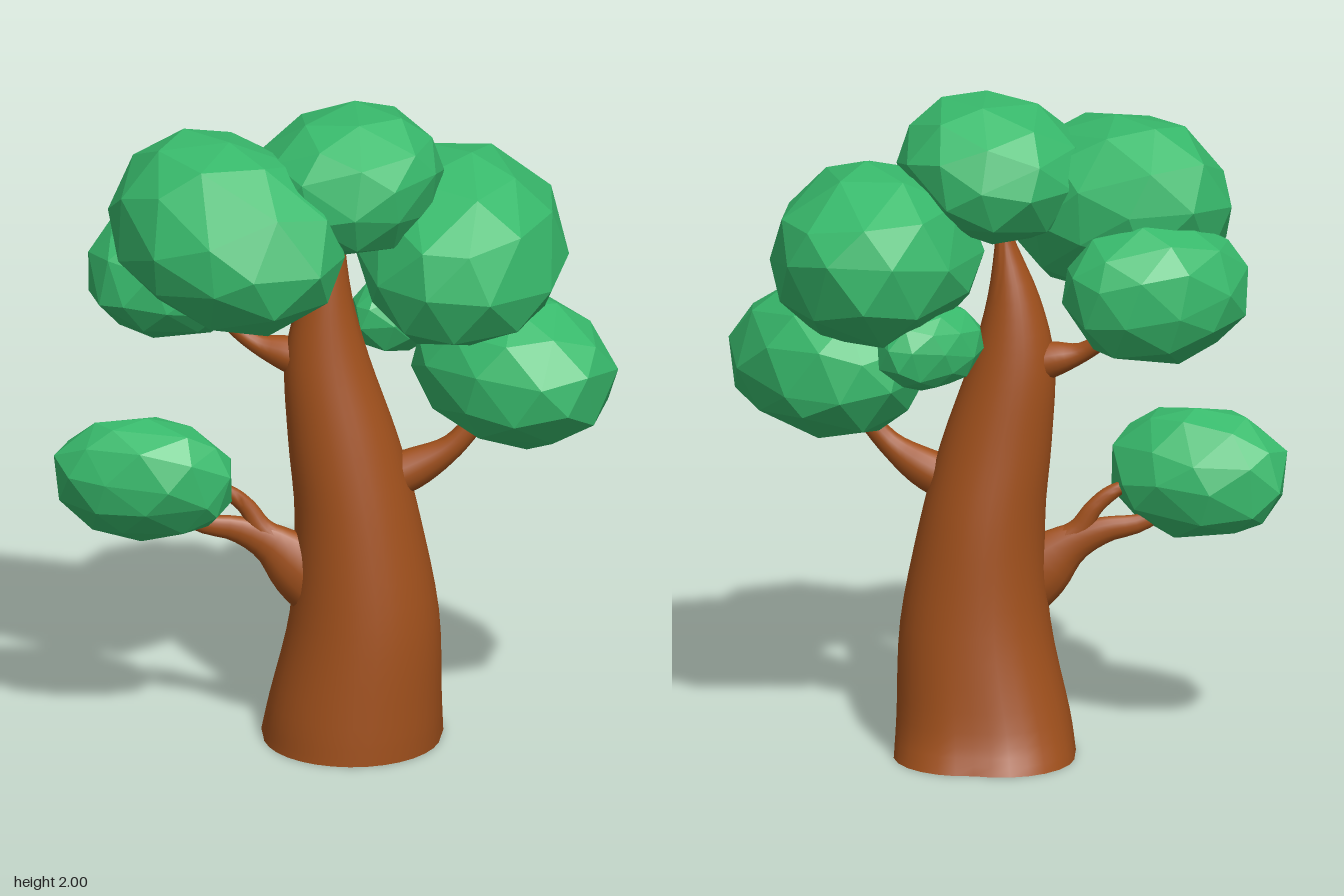
import * as THREE from 'three';
import { mergeVertices, toCreasedNormals } from 'three/addons/utils/BufferGeometryUtils.js';

const bark = new THREE.MeshStandardMaterial({ color: 0xa0501c });
const leaf = new THREE.MeshStandardMaterial({ color: 0x38ba6c, flatShading: true });
const V = (p) => new THREE.Vector3(...p);

function mesh(name, geometry, material) {
  const m = new THREE.Mesh(geometry, material);
  m.name = name;
  return m;
}

// small seeded generator
function seeded(seed) {
  let s = seed * 7919 + 17;
  return () => (s = (s * 16807) % 2147483647) / 2147483647;
}

// leaning trunk: each ring spans [y, xMin, xMax, zMin, zMax]
function trunkGeometry() {
  const rows = [
    [0, -0.22, 0.31, -0.31, 0.24],
    [0.12, -0.2, 0.31, -0.272, 0.235],
    [0.4, -0.14, 0.305, -0.235, 0.215],
    [0.7, -0.125, 0.25, -0.205, 0.18],
    [0.95, -0.145, 0.185, -0.165, 0.145],
    [1.2, -0.155, 0.1, -0.125, 0.105],
    [1.4, -0.11, 0.047, -0.085, 0.07],
    [1.6, -0.025, 0.022, -0.035, 0.028],
    [1.7, -0.015, 0.02, -0.02, 0.02],
  ];
  const low = new THREE.CatmullRomCurve3(rows.map(([y, a, , c]) => V([a, y, c])), false, 'catmullrom');
  const high = new THREE.CatmullRomCurve3(rows.map(([y, , b, , d]) => V([b, y, d])), false, 'catmullrom');
  const geo = new THREE.CylinderGeometry(1, 1, 1, 32, 32);
  const pos = geo.attributes.position;
  for (let i = 0; i < pos.count; i++) {
    const t = THREE.MathUtils.clamp(pos.getY(i) + 0.5, 0, 1);
    const a = low.getPoint(t), b = high.getPoint(t);
    const x = pos.getX(i), z = pos.getZ(i);
    // the foot is fuller at its back corners
    const full = z < 0 ? 1 + 0.22 * Math.abs(x * z) * Math.max(0, 1 - t * 3) : 1;
    pos.setXYZ(i,
      THREE.MathUtils.lerp(a.x, b.x, (x * full + 1) / 2),
      Math.max(0, a.y),
      THREE.MathUtils.lerp(a.z, b.z, (z * full + 1) / 2));
  }
  return toCreasedNormals(geo, 0.7);
}

// tapered tube through points [x, y, z, radius], thinned along z by flat
function branchGeometry(points, flat) {
  const along = 16, around = 14;
  const curve = new THREE.CatmullRomCurve3(points.map(([x, y, z]) => V([x, y, z])));
  const taper = new THREE.CatmullRomCurve3(points.map((p) => V([p[3], 0, 0])), false, 'catmullrom');
  const geo = new THREE.TubeGeometry(curve, along, 1, around);
  const pos = geo.attributes.position, v = new THREE.Vector3();
  for (let i = 0; i < pos.count; i++) {
    const u = Math.floor(i / (around + 1)) / along;
    const c = curve.getPointAt(u);
    const r = taper.getPoint(curve.getUtoTmapping(u)).x;
    v.fromBufferAttribute(pos, i).sub(c).multiplyScalar(r);
    v.z *= flat;
    v.add(c);
    pos.setXYZ(i, v.x, v.y, v.z);
  }
  return toCreasedNormals(geo, 1.2);
}

// faceted leaf clump: uneven, sheared icosphere fitted to the box min..max
function clumpGeometry(min, max, [xByY, xByZ, zByY], seed) {
  const rnd = seeded(seed);
  let geo = new THREE.IcosahedronGeometry(1, 1);
  geo.deleteAttribute('normal');
  geo.deleteAttribute('uv');
  geo = mergeVertices(geo, 1e-3);
  const pos = geo.attributes.position, v = new THREE.Vector3();
  const turn = new THREE.Euler(rnd() * 6, rnd() * 6, rnd() * 6);
  const jitter = () => (rnd() - 0.5) * 0.2;
  for (let i = 0; i < pos.count; i++) {
    v.fromBufferAttribute(pos, i).applyEuler(turn);
    v.add(V([jitter(), jitter(), jitter()])).normalize().multiplyScalar(0.98 + rnd() * 0.05);
    pos.setXYZ(i, v.x + v.y * xByY + v.z * xByZ, v.y, v.z + v.y * zByY);
  }
  geo.computeBoundingBox();
  const box = geo.boundingBox, size = box.getSize(new THREE.Vector3());
  const lo = V(min), span = V(max).sub(lo);
  for (let i = 0; i < pos.count; i++) {
    v.fromBufferAttribute(pos, i).sub(box.min).divide(size).multiply(span).add(lo);
    pos.setXYZ(i, v.x, v.y, v.z);
  }
  geo.computeVertexNormals();
  return geo;
}

export function createModel() {
  const tree = new THREE.Group();
  tree.name = 'tree';

  const wood = new THREE.Group();
  wood.name = 'wood';
  wood.add(mesh('trunk', trunkGeometry(), bark));
  const branches = [
    ['leftBranch', 0.9, [[0.14, 0.82, -0.01, 0.07], [0.24, 0.865, -0.01, 0.06], [0.34, 0.93, 0, 0.038], [0.42, 1.02, 0, 0.03], [0.5, 1.12, 0, 0.02]]],
    ['rightUpperBranch', 1, [[-0.08, 1.2, -0.01, 0.065], [-0.16, 1.22, -0.02, 0.052], [-0.24, 1.245, -0.03, 0.03], [-0.32, 1.305, -0.05, 0.025], [-0.4, 1.39, -0.08, 0.015]]],
    ['rightLowerBranch', 0.65, [[-0.03, 0.49, 0.03, 0.11], [-0.11, 0.56, 0.03, 0.1], [-0.2, 0.635, 0.03, 0.062], [-0.3, 0.68, 0.035, 0.04], [-0.4, 0.7, 0.05, 0.028], [-0.52, 0.76, 0.07, 0.012]]],
    ['rightLowerFork', 0.8, [[-0.17, 0.63, 0.03, 0.05], [-0.225, 0.68, 0.03, 0.036], [-0.265, 0.745, 0.03, 0.027], [-0.32, 0.795, 0.04, 0.023], [-0.42, 0.84, 0.06, 0.01]]],
  ];
  for (const [name, flat, points] of branches) wood.add(mesh(name, branchGeometry(points, flat), bark));

  // clumps: name, box corners, shear [x by y, x by z, z by y]
  const foliage = new THREE.Group();
  foliage.name = 'foliage';
  const clumps = [
    ['crownClump', [-0.24, 1.57, -0.26], [0.32, 2.0, 0.32], [0.08, 0, 0]],
    ['rightUpperClump', [-0.68, 1.38, -0.18], [0.03, 1.94, 0.48], [-0.1, 0.25, -0.15]],
    ['rightBackClump', [-0.74, 1.25, -0.32], [-0.2, 1.68, 0.14], [0, -0.25, 0]],
    ['rightLowClump', [-0.84, 0.66, -0.09], [-0.31, 1.05, 0.27], [0, 0.2, 0.15]],
    ['leftUpperClump', [0.05, 1.25, -0.48], [0.69, 1.83, 0.31], [0, 0, -0.1]],
    ['leftLowClump', [0.22, 0.95, -0.29], [0.84, 1.41, 0.3], [0, 0.25, 0]],
    ['smallBackClump', [0.04, 1.16, -0.35], [0.34, 1.42, -0.06], [0, -0.5, 0]],
  ];
  clumps.forEach(([name, min, max, shear], i) => {
    foliage.add(mesh(name, clumpGeometry(min, max, shear, i + 3), leaf));
  });

  tree.add(wood, foliage);
  return tree;
}
